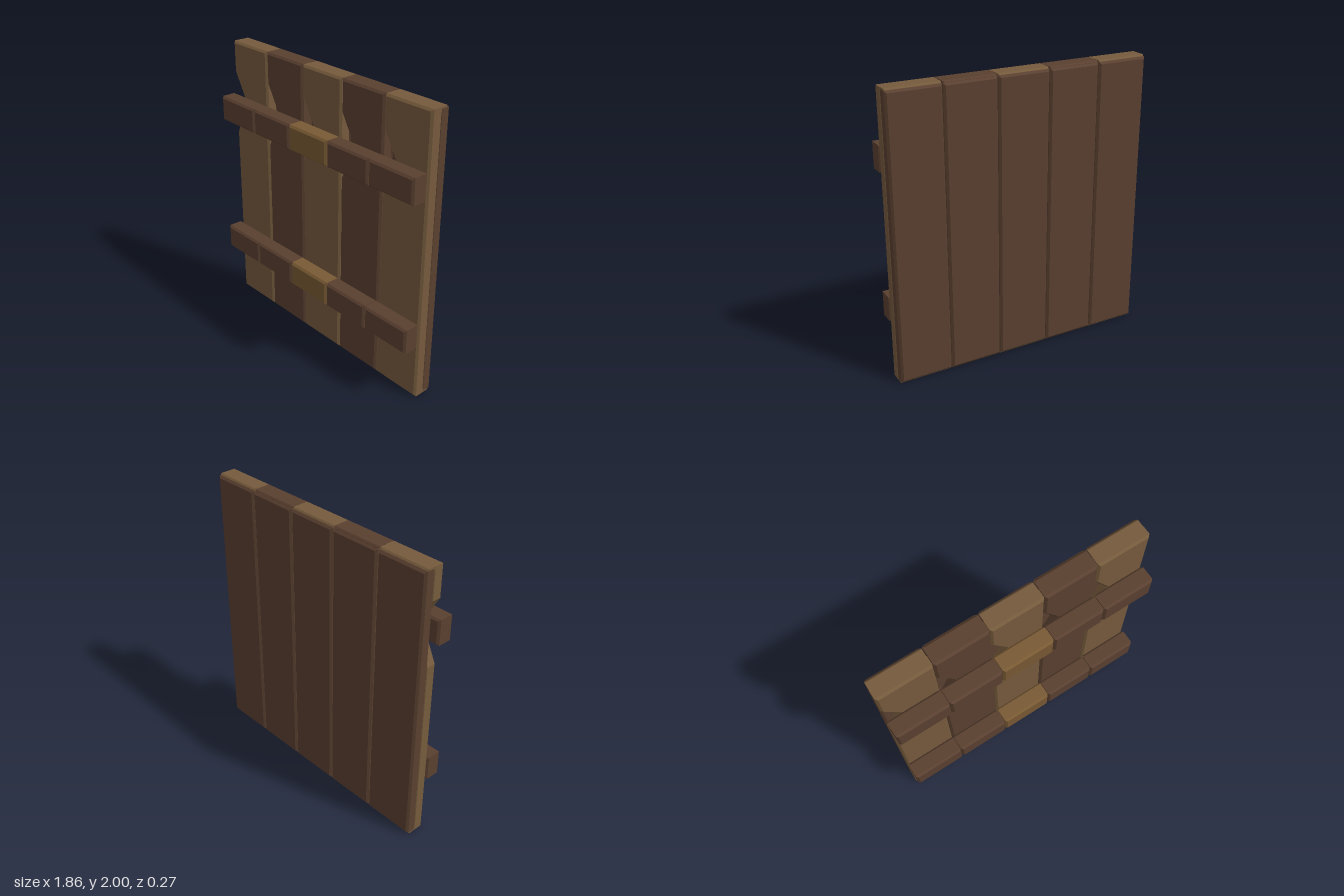
import * as THREE from 'three';

const TAN = 0x765b3d, DARK = 0x5a4030, GOLD = 0x795a34;
const BEVEL = 0.014;

const materials = new Map();
function wood(color) {
  if (!materials.has(color)) {
    materials.set(color, new THREE.MeshStandardMaterial({ color, flatShading: true }));
  }
  return materials.get(color);
}

// Chamfered slab from an outline, spanning z0 to z1
function slab(name, points, z0, z1, color, bevel = BEVEL) {
  const shape = new THREE.Shape(points.map(([x, y]) => new THREE.Vector2(x, y)));
  const geometry = new THREE.ExtrudeGeometry(shape, {
    depth: z1 - z0 - 2 * bevel,
    bevelEnabled: true, bevelSegments: 1,
    bevelSize: bevel, bevelThickness: bevel, bevelOffset: -bevel,
  });
  geometry.translate(0, 0, z0 + bevel);
  const mesh = new THREE.Mesh(geometry, wood(color));
  mesh.name = name;
  return mesh;
}

const rect = (w, y0, y1) => [[-w / 2, y0], [w / 2, y0], [w / 2, y1], [-w / 2, y1]];

export function createModel() {
  const group = new THREE.Group();
  group.name = 'plankDoor';
  const pitch = 0.3735, width = 0.37, h = width / 2;

  // Front board with a chipped notch on its right-hand edge
  const notched = [[-h, 0], [h, 0], [h, 2], [-h, 2], [-h, 1.78], [-h + 0.115, 1.58], [-h, 1.33]];

  for (let i = 0; i < 5; i++) {
    const color = i % 2 ? DARK : TAN;
    const plank = new THREE.Group();
    plank.name = `plank${i + 1}`;
    plank.position.x = (i - 2) * pitch;
    plank.add(slab('frontBoard', notched, -0.075, 0.013, color));
    plank.add(slab('backBoard', rect(width - 0.002, 0.012, 1.988), -0.137, -0.055, DARK));
    // End caps carry the board colour over the back board
    for (const [name, y0, y1] of [['topCap', 1.97, 2], ['bottomCap', 0, 0.03]]) {
      plank.add(slab(name, rect(width - 0.004, y0, y1), -0.122, -0.04, color, 0.01));
    }
    group.add(plank);

    // Cross rail blocks
    for (const [name, y0] of [['lowerRail', 0.403], ['upperRail', 1.443]]) {
      const block = slab(`${name}${i + 1}`, rect(width, y0, y0 + 0.178), 0.014, 0.137, i === 2 ? GOLD : DARK);
      block.position.x = plank.position.x;
      group.add(block);
    }
  }
  return group;
}
